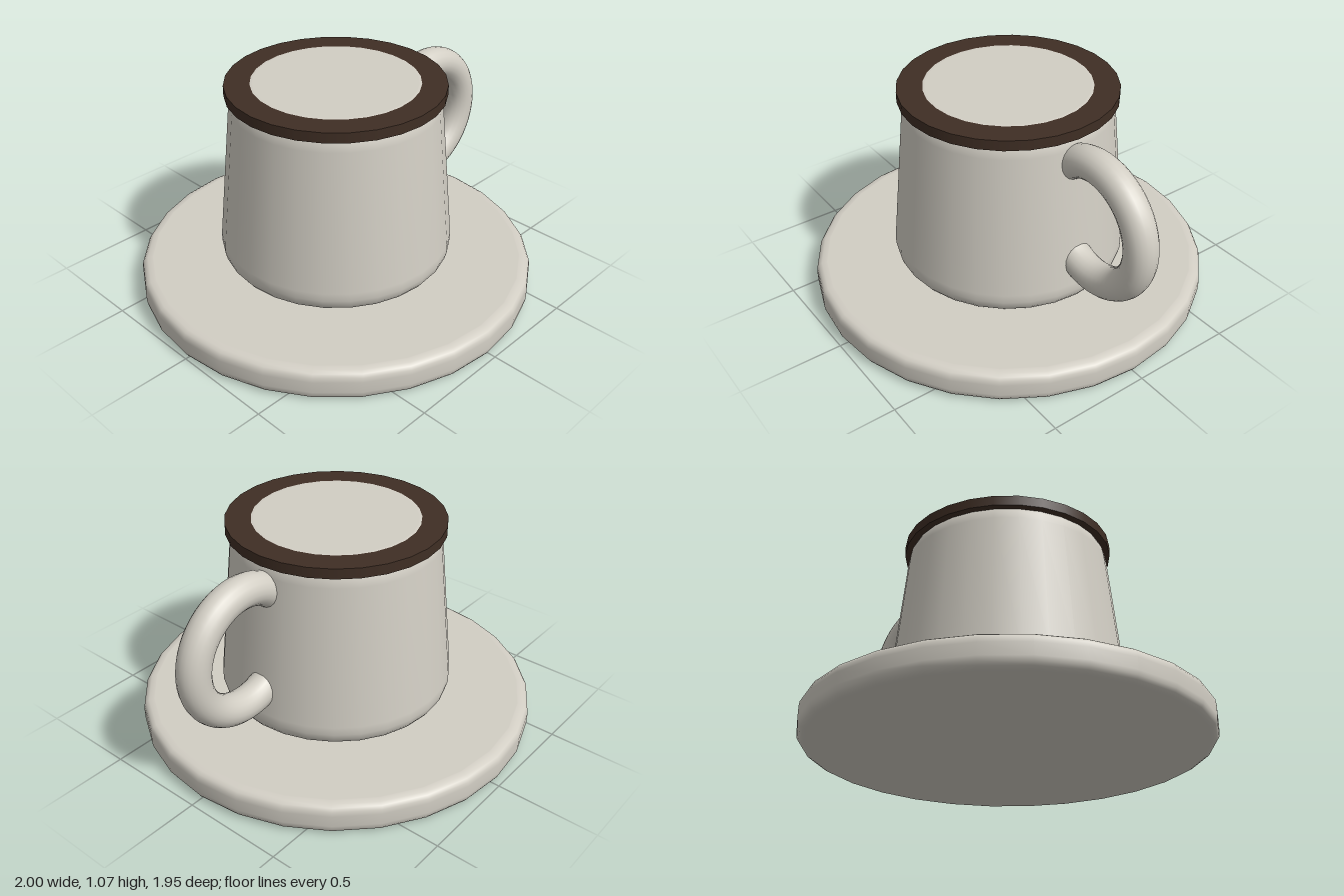
import * as THREE from 'three';

const SIDES = 28;
const CENTER_X = -0.022;

// Rounds a corner of a lathe profile with a quarter-like curve
function rounded(from, corner, to, steps = 4) {
  return new THREE.QuadraticBezierCurve(
    new THREE.Vector2(...from), new THREE.Vector2(...corner), new THREE.Vector2(...to)
  ).getPoints(steps);
}

// Turns a profile, adding flat caps with tight edge loops so they shade flat
function turned(profile) {
  const first = profile[0], last = profile[profile.length - 1];
  const points = [
    new THREE.Vector2(0, first.y), new THREE.Vector2(first.x - 0.004, first.y),
    ...profile,
    new THREE.Vector2(last.x - 0.004, last.y), new THREE.Vector2(0, last.y),
  ];
  return new THREE.LatheGeometry(points, SIDES);
}

export function createModel() {
  const group = new THREE.Group();
  const ceramic = new THREE.MeshStandardMaterial({ color: 0xd2cec4 });
  ceramic.name = 'ceramic';
  const coffeeBrown = new THREE.MeshStandardMaterial({ color: 0x3f2e24 });
  coffeeBrown.name = 'coffee brown';

  const add = (name, geometry, material, x, y) => {
    const mesh = new THREE.Mesh(geometry, material);
    mesh.name = name;
    mesh.position.set(x, y, 0);
    group.add(mesh);
  };

  // Thick saucer with softened rims
  add('saucer', turned([
    ...rounded([0.925, 0], [0.977, 0], [0.977, 0.05]),
    ...rounded([0.977, 0.105], [0.977, 0.155], [0.925, 0.155]),
  ]), ceramic, CENTER_X, 0);

  // Tapered cup; its rounded top pokes through the coffee disc
  add('cup', turned([
    ...rounded([0.49, 0.155], [0.582, 0.155], [0.572, 0.27], 5),
    ...rounded([0.502, 0.965], [0.492, 1.073], [0.39, 1.073], 5),
  ]), ceramic, CENTER_X, 0);

  // Coffee disc, slightly wider than the cup mouth
  add('coffee', new THREE.CylinderGeometry(0.52, 0.52, 0.05, SIDES), coffeeBrown, CENTER_X, 1.047);

  // Ring handle, its open ends buried in the cup wall
  const handle = new THREE.TorusGeometry(0.29, 0.078, 20, 40, Math.PI * 1.5);
  handle.rotateZ(-Math.PI * 0.75);
  add('handle', handle, ceramic, 0.632, 0.655);

  return group;
}
